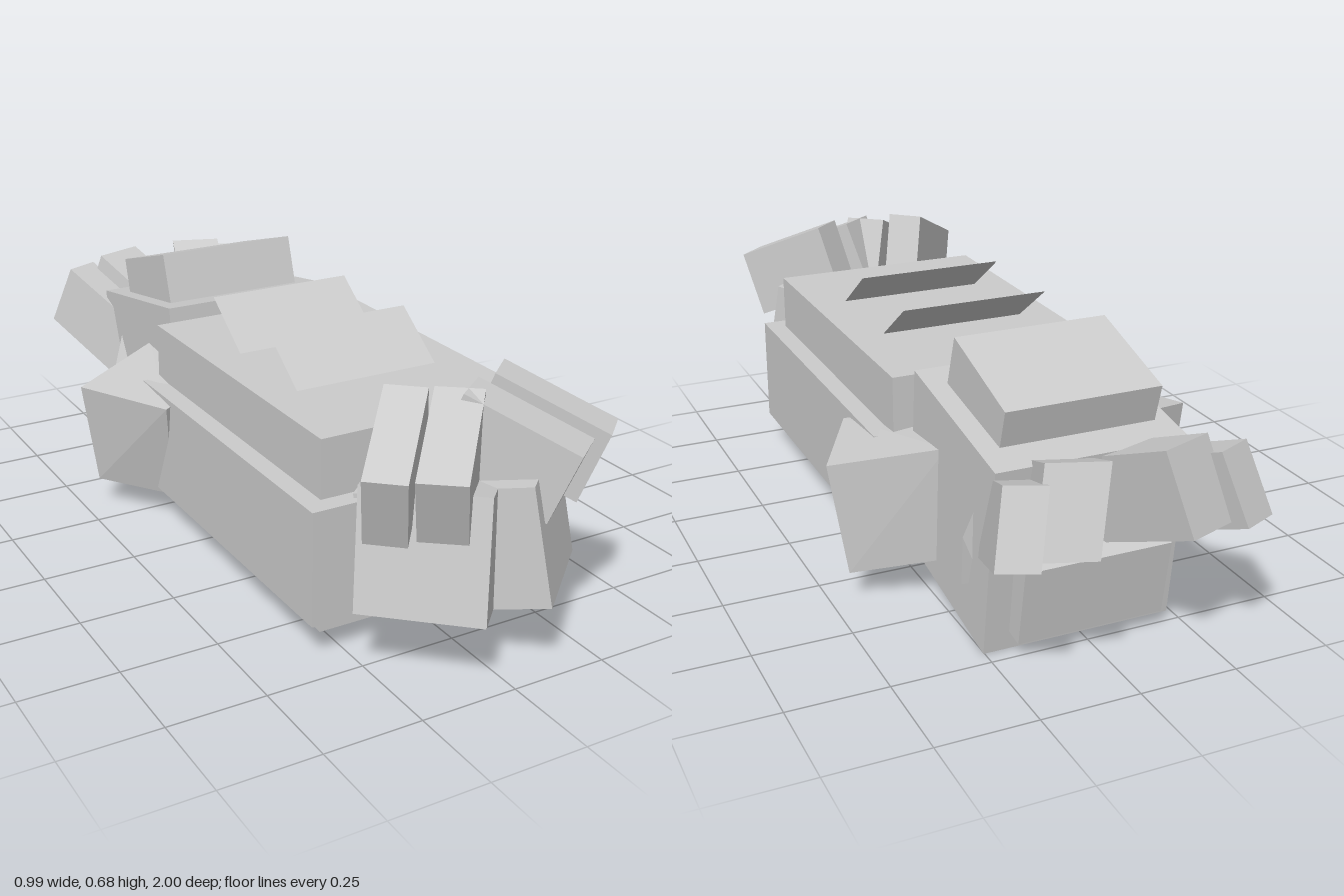
import * as THREE from 'three';
import { ConvexGeometry } from 'three/addons/geometries/ConvexGeometry.js';

const material = new THREE.MeshStandardMaterial({ color: 0xcccccc, flatShading: true });
const thinMaterial = new THREE.MeshStandardMaterial({ color: 0xcccccc, flatShading: true, side: THREE.DoubleSide });
const vec = (p) => new THREE.Vector3(...p);

export function createModel() {
  const model = new THREE.Group();

  const add = (name, geometry, mat = material) => {
    const mesh = new THREE.Mesh(geometry, mat);
    mesh.name = name;
    model.add(mesh);
    return mesh;
  };

  // Upright box from its min and max corners
  const box = (name, min, max) => {
    const size = max.map((v, i) => v - min[i]);
    const mesh = add(name, new THREE.BoxGeometry(...size));
    mesh.position.set(...min.map((v, i) => v + size[i] / 2));
  };

  const solid = (name, points) => add(name, new ConvexGeometry(points.map(vec)));

  // Block whose side outline is a list of [z, y], spread over x0..x1
  const sideBlock = (name, x0, x1, outline) =>
    solid(name, [x0, x1].flatMap((x) => outline.map(([z, y]) => [x, y, z])));

  // Slanted bar: end edge a-b swept along two edge vectors, on both sides
  const barPair = (name, a, b, along, down) => {
    const corners = [a, b].flatMap((p) => [0, 1].flatMap((i) => [0, 1].map((j) =>
      p.map((v, k) => v + i * along[k] + j * down[k]))));
    solidPair(name, corners);
  };

  const solidPair = (name, points) => {
    solid(name + 'Left', points);
    solid(name + 'Right', points.map(([x, y, z]) => [-x, y, z]));
  };

  // Body: tall core inside a wider belt
  box('bodyCore', [-0.295, 0.045, -0.26], [0.295, 0.54, 0.63]);
  box('bodyBelt', [-0.345, 0.097, -0.255], [0.345, 0.39, 0.68]);

  // Thin tilted panels rising from the top of the body
  for (const z of [-0.1, 0.2]) {
    const panel = add('backPanel', new THREE.PlaneGeometry(0.4, Math.hypot(0.15, 0.11)), thinMaterial);
    panel.rotation.x = -Math.atan2(0.15, 0.11);
    panel.position.set(0, 0.595, z + 0.075);
  }

  // Leaning rear block with its cap and end plate
  sideBlock('rearBlock', -0.24, 0.253, [[-0.26, 0.08], [-0.3, 0.567], [-0.765, 0.49], [-0.71, 0.004]]);
  sideBlock('rearCap', -0.2, 0.2, [[-0.375, 0.54], [-0.42, 0.684], [-0.7, 0.6], [-0.665, 0.47]]);
  sideBlock('rearPlate', -0.19, 0.19, [[-0.7, 0.055], [-0.72, 0.26], [-0.795, 0.243], [-0.765, 0.045]]);

  // Side legs, turned outwards and tapering downwards
  solidPair('sideLeg', [
    [0.36, 0.372, -0.072], [0.497, 0.372, -0.335], [0.235, 0.42, -0.455], [0.1, 0.41, -0.2],
    [0.315, 0.083, -0.145], [0.452, 0.08, -0.35], [0.2, 0.12, -0.452], [0.08, 0.12, -0.25],
  ]);

  // Front upper fingers, two per side
  barPair('frontOuterFinger', [0.345, 0.55, 0.88], [0.27, 0.55, 0.947], [-0.18, 0.115, -0.2], [-0.04, -0.18, -0.055]);
  barPair('frontInnerFinger', [0.24, 0.54, 0.925], [0.15, 0.54, 0.995], [-0.18, 0.115, -0.2], [-0.045, -0.172, -0.052]);

  // Front lower paws, crossing at the middle
  barPair('frontPaw', [0.31, 0.185, 0.8], [0.09, 0.185, 1.0], [-0.28, -0.075, -0.3], [-0.035, 0.29, -0.045]);

  // Rear fingers, two per side
  barPair('rearOuterFinger', [0.3, 0.53, -0.9], [0.21, 0.53, -0.94], [-0.085, -0.11, 0.265], [0.045, -0.17, -0.058]);
  barPair('rearInnerFinger', [0.2, 0.56, -0.895], [0.065, 0.56, -0.943], [-0.085, -0.12, 0.28], [0.05, -0.2, -0.055]);

  // Small spurs on the flanks of the rear block
  solidPair('sideSpur', [
    [0.23, 0.41, -0.66], [0.275, 0.28, -0.64], [0.265, 0.14, -0.61],
    [0.23, 0.14, -0.58], [0.23, 0.2, -0.54], [0.23, 0.16, -0.65],
  ]);

  return model;
}
